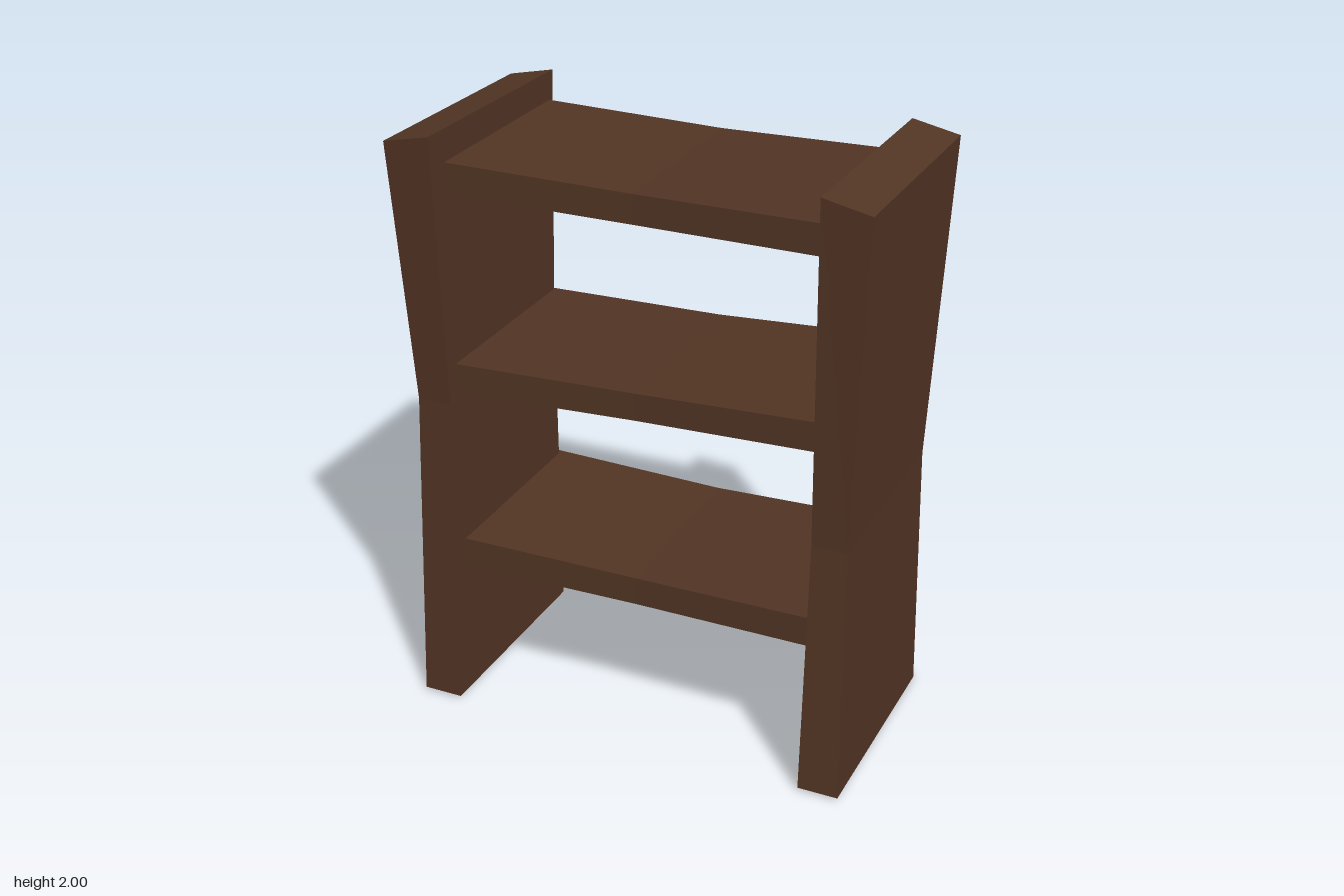
import * as THREE from 'three';

const wood = new THREE.MeshStandardMaterial({ color: 0x523524, side: THREE.DoubleSide });
wood.name = 'dark wood';

// Board through four-cornered sections, joined along the given section edges.
// The ends are capped; edges that are left out stay open.
function board(name, sections, edges) {
  const pos = [];
  const quad = (a, b, c, d) => [a, b, c, a, c, d].forEach((p) => pos.push(...p));
  for (let i = 0; i < sections.length - 1; i++) {
    const s = sections[i], t = sections[i + 1];
    for (const k of edges) quad(s[k], t[k], t[k + 1], s[k + 1]);
  }
  quad(...sections[0]);
  quad(...sections[sections.length - 1].slice().reverse());
  const geometry = new THREE.BufferGeometry();
  geometry.setAttribute('position', new THREE.Float32BufferAttribute(pos, 3));
  geometry.computeVertexNormals();
  const mesh = new THREE.Mesh(geometry, wood);
  mesh.name = name;
  return mesh;
}

// Waisted upright, open at the back; bend is the height of its narrowest point
function sidePanel(name, side, bend) {
  const sections = [
    // inner x, outer x, back z, front z, inner y, outer y, front-to-back rise
    [0.615, 0.75, -0.364, 0.4, 0.002, 0.002, 0.01],
    [0.617, 0.733, -0.358, 0.357, bend, bend, 0],
    [0.621, 0.777, -0.403, 0.395, 1.99, 1.957, 0.01],
  ].map(([xi, xo, zb, zf, yi, yo, rise]) => [
    [side * xi, yi, zb],
    [side * xi, yi + rise, zf],
    [side * xo, yo + rise, zf],
    [side * xo, yo, zb],
  ]);
  return board(name, side > 0 ? sections.reverse() : sections, [0, 1, 2]);
}

// Bent shelf with a top, front and ends, open below and behind; set into the panels
function shelf(name, bottoms, tops, backs, fronts) {
  return board(name, [-0.68, 0, 0.68].map((x, i) => [
    [x, bottoms[i], backs[i]],
    [x, bottoms[i], fronts[i]],
    [x, tops[i], fronts[i]],
    [x, tops[i], backs[i]],
  ]), [1, 2]);
}

export function createModel() {
  const model = new THREE.Group();
  model.name = 'bookshelf';
  model.add(
    sidePanel('leftPanel', 1, 0.88),
    sidePanel('rightPanel', -1, 1.1),
    shelf('topShelf', [1.796, 1.786, 1.796], [1.896, 1.882, 1.896], [-0.375, -0.375, -0.375], [0.312, 0.292, 0.322]),
    shelf('middleShelf', [1.121, 1.142, 1.176], [1.222, 1.235, 1.275], [-0.372, -0.372, -0.372], [0.312, 0.292, 0.315]),
    shelf('bottomShelf', [0.482, 0.478, 0.495], [0.586, 0.575, 0.597], [-0.383, -0.375, -0.375], [0.312, 0.292, 0.318]),
  );
  return model;
}
